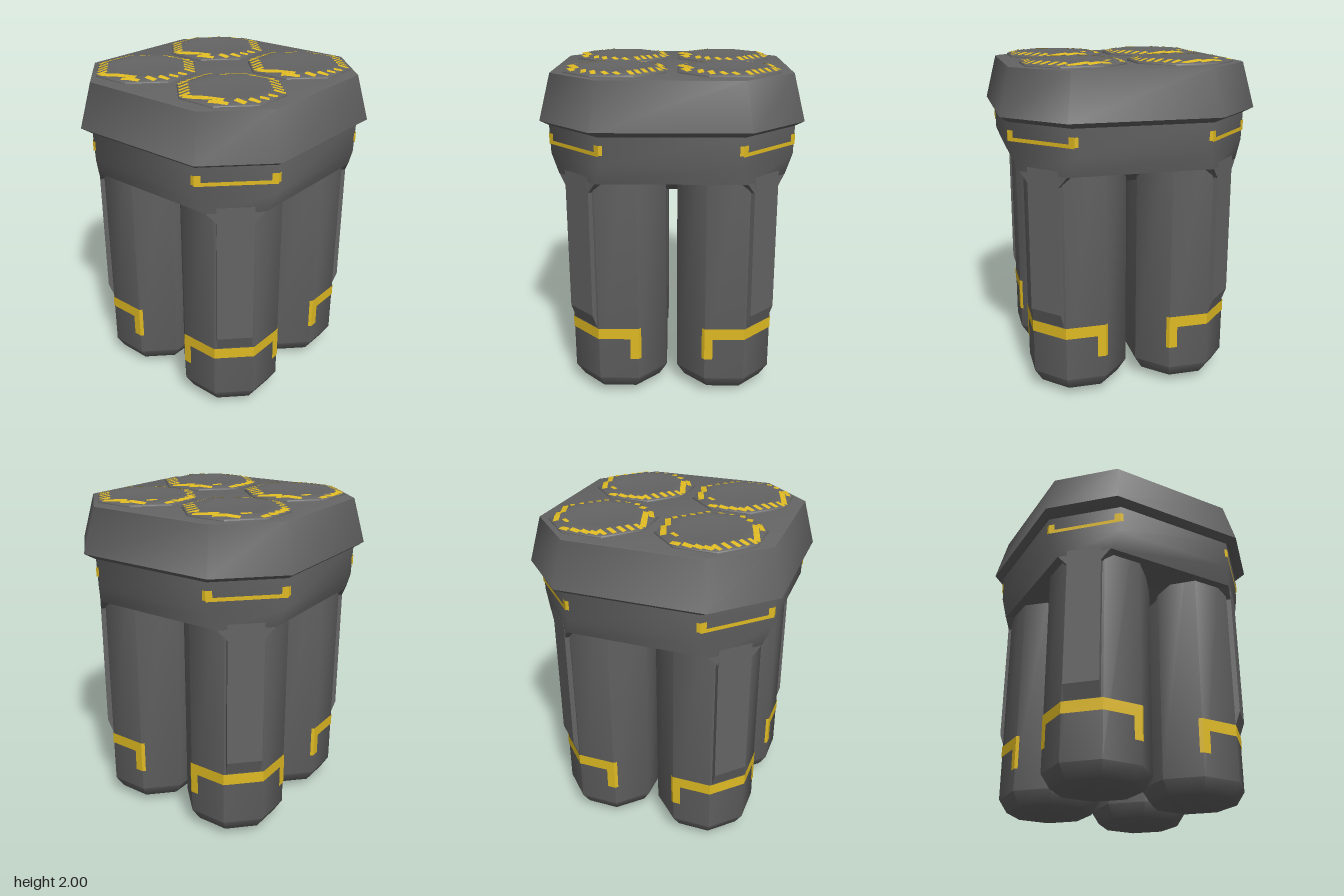
import * as THREE from 'three';
import { toCreasedNormals, mergeGeometries } from 'three/addons/utils/BufferGeometryUtils.js';

const CENTRE = 0.452;          // distance of each tube from the axis
const AP = 0.287;              // tube apothem
const REG = Math.SQRT2 - 1;    // half side of a regular octagon per apothem

function fromTriangles(pos) {
  const g = new THREE.BufferGeometry();
  g.setAttribute('position', new THREE.Float32BufferAttribute(pos, 3));
  g.computeVertexNormals();
  return g;
}

// Skin eight-sided rings [y, r, w], bottom to top; w is the half width of the axis-facing sides
function loft(rings, crease = 0.9) {
  const loops = rings.map(([y, r, w = r * REG]) =>
    [[w, r], [r, w], [r, -w], [w, -r], [-w, -r], [-r, -w], [-r, w], [-w, r]].map(([x, z]) => [x, y, z]));
  const pos = [];
  for (let i = 0; i + 1 < loops.length; i++) {
    for (let j = 0; j < 8; j++) {
      const k = (j + 1) % 8;
      const a = loops[i][j], b = loops[i][k], c = loops[i + 1][k], d = loops[i + 1][j];
      if (rings[i][1] > 0) pos.push(...a, ...b, ...c);
      if (rings[i + 1][1] > 0) pos.push(...a, ...c, ...d);
    }
  }
  return toCreasedNormals(fromTriangles(pos), crease);
}

// Upright painted strip along [x, z] points
function wall(points, y0, y1) {
  const pos = [];
  for (let i = 0; i + 1 < points.length; i++) {
    const [x0, z0] = points[i], [x1, z1] = points[i + 1];
    pos.push(x0, y0, z0, x1, y0, z1, x1, y1, z1, x0, y0, z0, x1, y1, z1, x0, y1, z0);
  }
  return fromTriangles(pos);
}

// Height of the cap's sloping rim under a local point
function rimHeight(x, z) {
  const m = Math.max(Math.abs(x), Math.abs(z), (Math.abs(x) + Math.abs(z)) / Math.SQRT2);
  return 1.996 - 0.014 * THREE.MathUtils.clamp((m - 0.225) / 0.055, 0, 1) + 0.003;
}

// Painted stripe lying on the rim
function stripe([x0, z0, x1, z1, width]) {
  const len = Math.hypot(x1 - x0, z1 - z0);
  const nx = -(z1 - z0) / len * width / 2, nz = (x1 - x0) / len * width / 2;
  const at = (t, s) => {
    const x = x0 + (x1 - x0) * t + nx * s, z = z0 + (z1 - z0) * t + nz * s;
    return [x, rimHeight(x, z), z];
  };
  const pos = [];
  for (let i = 0; i < 4; i++) {
    const a = at(i / 4, 1), b = at((i + 1) / 4, 1), c = at((i + 1) / 4, -1), d = at(i / 4, -1);
    pos.push(...a, ...b, ...c, ...a, ...c, ...d);
  }
  return fromTriangles(pos);
}

const extrude = (pts, depth) => new THREE.ExtrudeGeometry(
  new THREE.Shape(pts.map(p => new THREE.Vector2(...p))), { depth, bevelEnabled: false });

export function createModel() {
  const model = new THREE.Group();
  model.name = 'fourTubeCluster';
  const grey = new THREE.MeshStandardMaterial({ color: 0x646464 });
  grey.name = 'darkGrey';
  const yellow = new THREE.MeshStandardMaterial({ color: 0xdfba22, side: THREE.DoubleSide });
  yellow.name = 'warningYellow';
  const add = (parent, name, geometry, material) => {
    const mesh = new THREE.Mesh(geometry, material);
    mesh.name = name;
    parent.add(mesh);
    return mesh;
  };

  // Overhanging head and the collar that pinches in between the tubes
  add(model, 'head', loft([
    [1.66, 0, 0], [1.66, 0.765, 0.22], [1.70, 0.84, 0.225], [1.965, 0.768, 0.205], [1.97, 0.755, 0.2], [1.97, 0, 0],
  ]), grey);
  add(model, 'collar', loft([
    [1.29, 0, 0], [1.29, 0.5, 0.08], [1.385, 0.6, 0.1], [1.39, 0.765, 0.165],
    [1.5, 0.77, 0.225], [1.68, 0.776, 0.225],
  ]), grey);

  // Shared shapes of one tube unit
  const tube = loft([[0, 0], [0.05, 0.24], [0.13, AP], [1.9, AP]]);
  const cap = loft([[1.95, AP], [1.975, AP], [1.982, 0.28], [1.996, 0.225], [1.987, 0.17], [1.984, 0]]);
  const spine = extrude([[0.6, 0.47], [0.738, 0.47], [0.77, 0.56], [0.767, 1.42], [0.6, 1.42]], 0.21);
  spine.rotateY(-Math.PI / 2).translate(0.105, 0, 0);
  const gusset = extrude([[-0.1, 1.32], [0.1, 1.32], [0.167, 1.395], [-0.167, 1.395]], 0.065);
  gusset.translate(0, 0, 0.7);

  // Painted band round the outer half of a tube, with a tab at each end
  const o = AP + 0.004, c = o * REG;
  const bandEnd = s => [[s * o, 0.55], [s * o, CENTRE + c], [s * (o - 0.035), CENTRE + c + 0.035]];
  const band = mergeGeometries([
    wall([[-o, 0.55], [-o, CENTRE + c], [-c, CENTRE + o], [c, CENTRE + o], [o, CENTRE + c], [o, 0.55]], 0.4, 0.47),
    wall(bandEnd(-1), 0.265, 0.4),
    wall(bandEnd(1).reverse(), 0.265, 0.4),
  ]);
  // Painted bracket on the collar
  const z = 0.779;
  const bracket = mergeGeometries([
    wall([[-0.225, z], [0.225, z]], 1.558, 1.58),
    wall([[-0.24, z - 0.015], [-0.225, z], [-0.188, z]], 1.565, 1.62),
    wall([[0.188, z], [0.225, z], [0.24, z - 0.015]], 1.565, 1.62),
  ]);

  // Slanted rim stripes: x0, z0, x1, z1, width
  const stripes = [];
  for (const t of [-0.1, -0.045, 0.01, 0.06, 0.11]) {
    stripes.push([0.22, t - 0.012, 0.28, t + 0.008, 0.027]);
    stripes.push([-0.28, t + 0.008, -0.225, t - 0.012, 0.027]);
  }
  stripes.push(
    [-0.262, -0.125, -0.212, -0.155, 0.03], [-0.225, -0.165, -0.175, -0.19, 0.03],
    [-0.185, -0.205, -0.13, -0.235, 0.03], [-0.13, -0.25, -0.08, -0.28, 0.03],
    [0.03, -0.272, 0.165, -0.21, 0.034], [0.13, -0.2, 0.262, -0.14, 0.034],
    [-0.04, -0.222, 0.02, -0.228, 0.022],
    [-0.262, 0.13, -0.06, 0.235, 0.034], [-0.14, 0.235, -0.04, 0.272, 0.03],
    [0, 0.232, 0.05, 0.272, 0.032], [0.07, 0.23, 0.125, 0.262, 0.03],
    [0.13, 0.205, 0.18, 0.212, 0.028], [0.18, 0.165, 0.23, 0.17, 0.028],
  );
  const rimStripes = mergeGeometries(stripes.map(stripe));

  // Four tube units around the axis
  for (let i = 0; i < 4; i++) {
    const a = i * Math.PI / 2;
    const unit = new THREE.Group();
    unit.name = 'tubeUnit' + (i + 1);
    unit.rotation.y = a;
    model.add(unit);
    add(unit, 'tube', tube, grey).position.z = CENTRE;
    add(unit, 'tubeCap', cap, grey).position.z = CENTRE;
    add(unit, 'spine', spine, grey);
    add(unit, 'spineGusset', gusset, grey);
    add(unit, 'tubeBand', band, yellow);
    add(unit, 'collarBracket', bracket, yellow);
    add(model, 'rimStripes', rimStripes, yellow)
      .position.set(Math.sin(a) * CENTRE, 0, Math.cos(a) * CENTRE);
  }
  return model;
}
